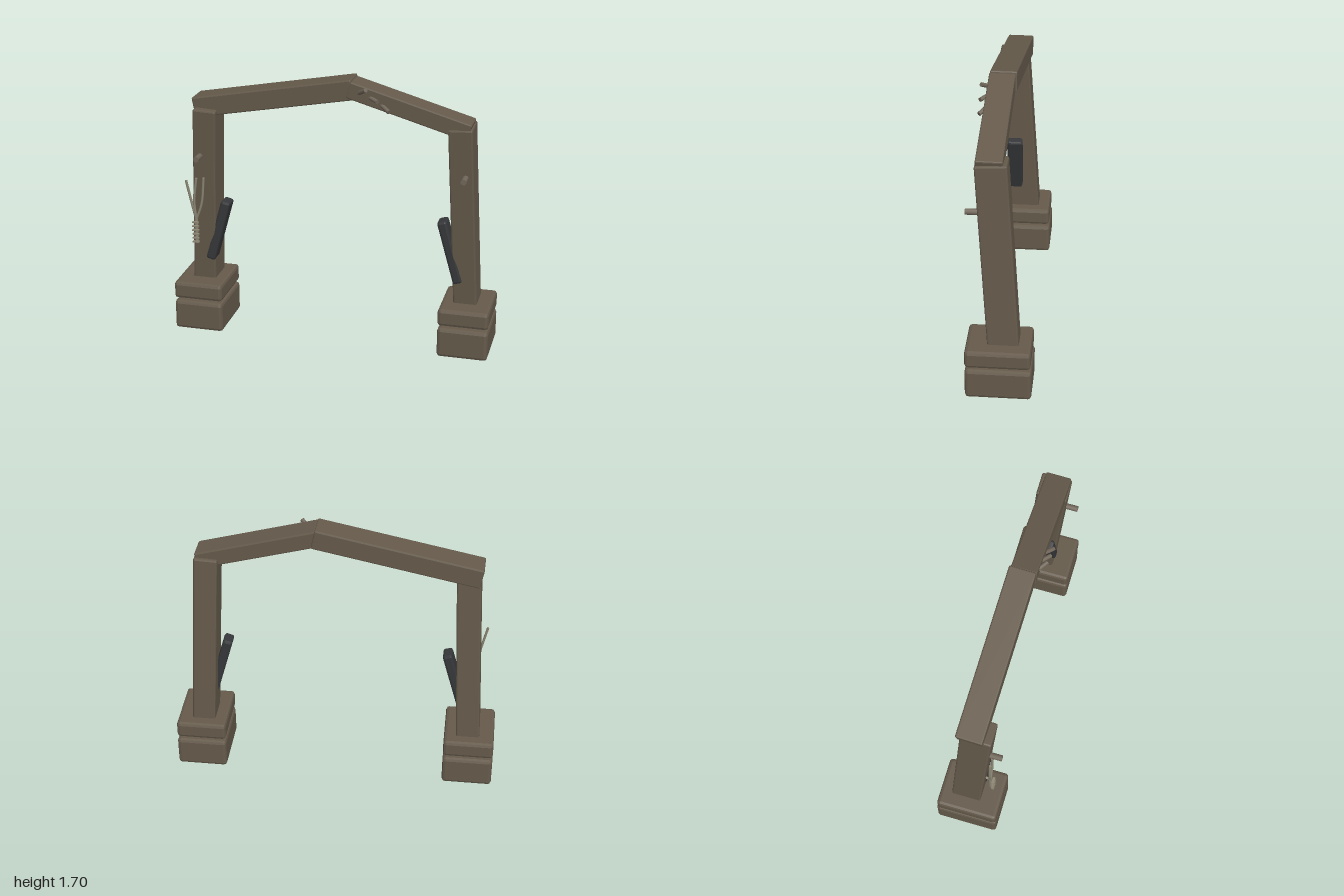
import * as THREE from 'three';
import { RoundedBoxGeometry } from 'three/addons/geometries/RoundedBoxGeometry.js';

const V = (x, y, z) => new THREE.Vector3(x, y, z);

export function createModel() {
  const mat = (name, color) => {
    const m = new THREE.MeshStandardMaterial({ color });
    m.name = name;
    return m;
  };
  const wood = mat('weathered brown', 0x655a4b);
  const dark = mat('dark brace', 0x36373a);
  const pegMat = mat('peg brown', 0x71675a);
  const pale = mat('pale carving', 0x8c8774);

  const model = new THREE.Group();
  model.name = 'archway';
  const add = (name, geo, material, parent = model) => {
    const mesh = new THREE.Mesh(geo, material);
    mesh.name = name;
    parent.add(mesh);
    return mesh;
  };

  // Faceted box with chamfered edges
  const chamferBox = (w, h, d, r) => {
    const geo = new RoundedBoxGeometry(w, h, d, 1, r);
    geo.computeVertexNormals();
    return geo;
  };

  // Point local y from a to b, keeping local z close to the front
  const align = (mesh, a, b) => {
    const y = b.clone().sub(a).normalize();
    const x = y.clone().cross(V(0, 0, 1)).normalize();
    const z = x.clone().cross(y);
    mesh.quaternion.setFromRotationMatrix(new THREE.Matrix4().makeBasis(x, y, z));
    mesh.position.copy(a).add(b).multiplyScalar(0.5);
    return mesh;
  };
  const beam = (name, a, b, w, d, r, material) =>
    align(add(name, chamferBox(w, a.distanceTo(b), d, r), material), a, b);
  const peg = (name, a, b, r, material, parent) => {
    const geo = new THREE.CylinderGeometry(r, r, a.distanceTo(b), 10);
    const mesh = add(name, geo, material, parent);
    mesh.quaternion.setFromUnitVectors(V(0, 1, 0), b.clone().sub(a).normalize());
    mesh.position.copy(a).add(b).multiplyScalar(0.5);
    return mesh;
  };

  // Two mirrored supports: plinth, leaning leg, brace and peg
  for (const [side, s] of [['left', 1], ['right', -1]]) {
    add(side + 'PlinthBase', chamferBox(0.312, 0.19, 0.39, 0.02), wood).position.set(s * 0.844, 0.095, 0);
    add(side + 'PlinthCap', chamferBox(0.312, 0.11, 0.385, 0.02), wood).position.set(s * 0.844, 0.262, 0.003);
    beam(side + 'Leg', V(s * 0.838, 0.26, -0.026), V(s * 0.784, 1.452, 0.048), 0.145, 0.185, 0.01, wood);
    beam(side + 'Brace', V(s * 0.79, 0.45, 0.04), V(s * 0.679, 0.845, 0.04), 0.06, 0.1, 0.014, dark);
    peg(side + 'Peg', V(s * 0.823, 1.15, 0.1), V(s * 0.823, 1.15, 0.195), 0.018, pegMat);
  }

  // Two lintel beams meeting at an off-centre peak
  beam('longLintel', V(-0.863, 1.448, 0.015), V(0.137, 1.638, 0.04), 0.125, 0.16, 0.008, wood);
  beam('shortLintel', V(0.11, 1.638, 0.046), V(0.84, 1.43, 0.057), 0.105, 0.155, 0.008, wood);

  // Fan of short pegs beside the peak
  [
    [0.17, 1.62, 0.225, 1.655],
    [0.235, 1.6, 0.295, 1.59],
    [0.305, 1.562, 0.365, 1.533],
  ].forEach(([x0, y0, x1, y1], i) =>
    peg('lintelPeg' + (i + 1), V(x0, y0, 0.11), V(x1, y1, 0.16), 0.013, pegMat));

  // Branching ornament in front of the right leg
  const ornament = new THREE.Group();
  ornament.name = 'branchOrnament';
  model.add(ornament);
  const twig = (name, points, r) =>  {
    const curve = new THREE.CatmullRomCurve3(points);
    add(name, new THREE.TubeGeometry(curve, 10, r, 6), pale, ornament);
    // Close both tube ends
    [[points[0], -1], [points[points.length - 1], 1]].forEach(([p, dir], i) => {
      const cap = add(name + 'End', new THREE.CircleGeometry(r, 6), pale, ornament);
      cap.position.copy(p);
      cap.quaternion.setFromUnitVectors(V(0, 0, 1), curve.getTangent(i).multiplyScalar(dir));
    });
  };
  const z = 0.128;
  twig('stem', [V(-0.858, 0.575, z), V(-0.858, 0.66, z), V(-0.858, 0.75, z)], 0.011);
  twig('outerBranch', [V(-0.858, 0.73, z), V(-0.882, 0.83, z), V(-0.917, 0.985, z)], 0.008);
  twig('middleBranch', [V(-0.858, 0.73, z), V(-0.868, 0.85, z), V(-0.85, 1.005, z)], 0.008);
  twig('innerBranch', [V(-0.858, 0.73, z), V(-0.82, 0.84, z), V(-0.802, 1.01, z)], 0.008);
  for (let i = 0; i < 6; i++) {
    const y = 0.588 + i * 0.026;
    add('stemRib', new THREE.BoxGeometry(0.042, 0.009, 0.016), pale, ornament).position.set(-0.858, y, 0.146);
  }
  return model;
}
